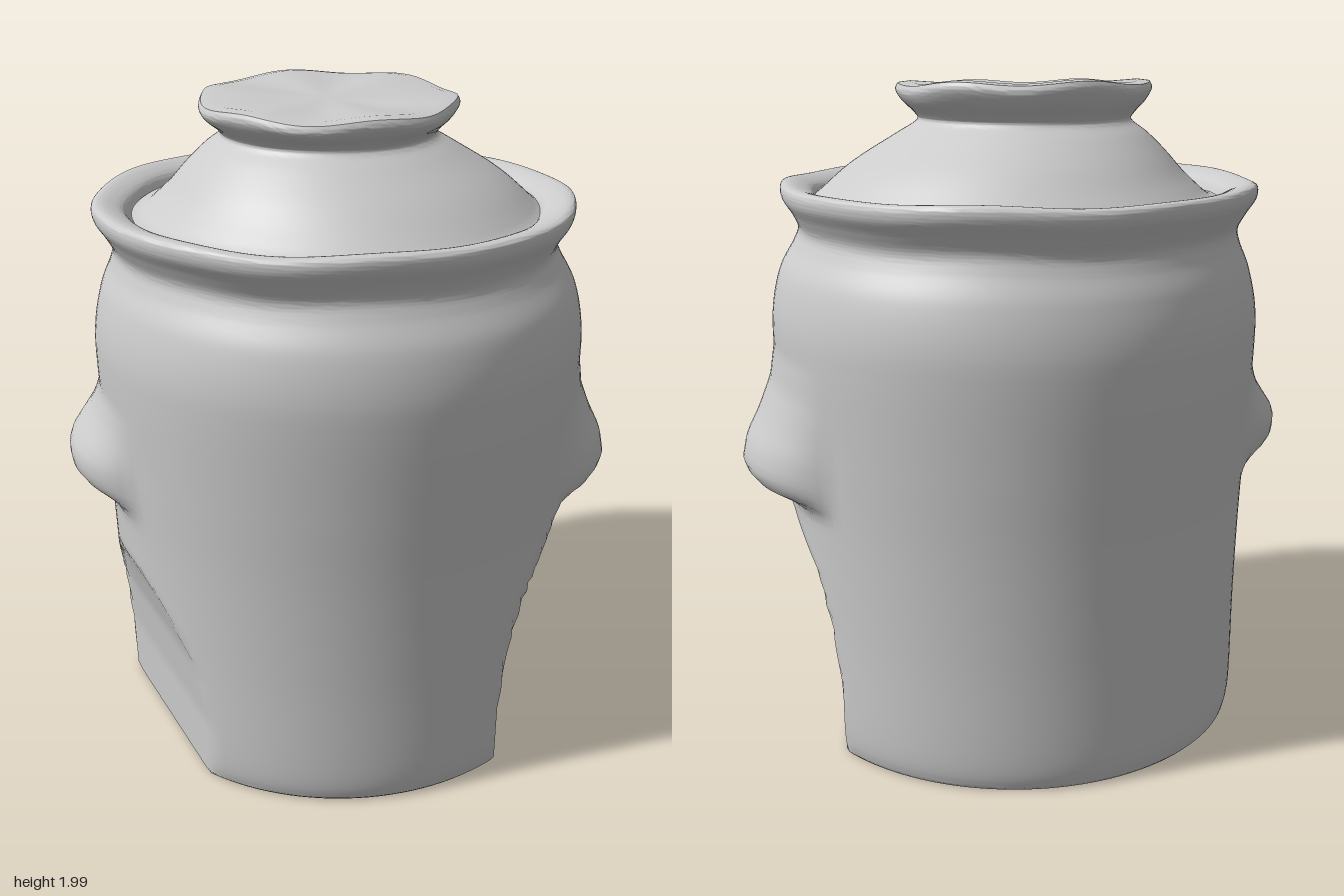
import * as THREE from 'three';
import { toCreasedNormals } from 'three/addons/utils/BufferGeometryUtils.js';

// Linear lookup in a list of [key, value] pairs.
function lookup(table, k) {
  if (k <= table[0][0]) return table[0][1];
  for (let i = 1; i < table.length; i++) {
    const [k0, v0] = table[i - 1], [k1, v1] = table[i];
    if (k <= k1) return v0 + ((v1 - v0) * (k - k0)) / (k1 - k0);
  }
  return table[table.length - 1][1];
}

const spline = (pts, n) => new THREE.SplineCurve(pts.map(p => new THREE.Vector2(...p))).getPoints(n);

// Turned form whose vertices are then moved by a rule.
function turned(name, points, rule, crease) {
  const geo = new THREE.LatheGeometry(points, 128);
  const pos = geo.attributes.position, v = new THREE.Vector3();
  for (let i = 0; i < pos.count; i++) {
    rule(v.fromBufferAttribute(pos, i));
    pos.setXYZ(i, v.x, v.y, v.z);
  }
  geo.deleteAttribute('normal');
  const mesh = new THREE.Mesh(toCreasedNormals(geo, crease),
    new THREE.MeshStandardMaterial({ color: 0xcccccc, side: THREE.DoubleSide }));
  mesh.name = name;
  return mesh;
}

// Each side: a lug pushed out of the wall and a flat cut away beneath it.
// cut = distance of the flat from the axis by height, lug = push by height.
const sides = [
  { sign: 1, nx: 0.978, nz: 0.208, spread: 0.53,
    cut: [[0, 0.522], [0.2, 0.525], [0.4, 0.55], [0.55, 0.59], [0.75, 0.69], [0.83, 0.8], [0.85, 9]],
    lug: [[0.75, 0], [0.78, 0.04], [0.81, 0.105], [0.85, 0.128], [0.92, 0.11], [1.0, 0.065], [1.1, 0.02], [1.2, 0]] },
  { sign: -1, nx: -0.947, nz: 0.32, spread: 0.5,
    cut: [[0, 0.605], [0.2, 0.61], [0.4, 0.638], [0.55, 0.685], [0.7, 0.745], [0.78, 0.8], [0.8, 9]],
    lug: [[0.78, 0], [0.82, 0.025], [0.85, 0.085], [0.89, 0.115], [0.95, 0.113], [1.0, 0.075], [1.06, 0.03], [1.13, 0]] },
];

function shapeBody(v) {
  for (const s of sides) {
    const reach = v.x * s.nx + v.z * s.nz, limit = lookup(s.cut, v.y);
    if (reach > limit) {
      v.x *= limit / reach;
      v.z *= limit / reach;
    }
    const a = Math.atan2(v.z, v.x * s.sign), r = Math.hypot(v.x, v.z);
    if (r > 0.1 && Math.abs(a) < s.spread) {
      const f = 1 - (a / s.spread) ** 2;
      const push = 1 + (lookup(s.lug, v.y) * f * (1.25 - 0.25 * f)) / r;
      v.x *= push;
      v.z *= push;
    }
  }
  // The rim sits a little off centre and is slightly uneven.
  const k = THREE.MathUtils.smoothstep(v.y, 1.4, 1.62), t = Math.atan2(v.z, v.x);
  const wave = Math.sin(5 * t + 1) + 0.6 * Math.sin(9 * t);
  v.x -= 0.013 * k;
  v.z -= 0.01 * k;
  v.y += 0.004 * k * wave;
}

function shapeLid(v) {
  const t = Math.atan2(v.z, v.x), r = Math.hypot(v.x, v.z);
  const k = THREE.MathUtils.smoothstep(v.y, 1.7, 1.87);
  const top = THREE.MathUtils.smoothstep(v.y, 1.88, 1.96);
  // The knob leans towards the back right of the lid and tilts.
  const wobble = 1 + 0.012 * top * Math.sin(7 * t + 0.5);
  v.x = v.x * wobble + 0.012 - 0.04 * k;
  v.z = v.z * wobble - 0.015;
  v.y += top * (-0.035 * v.z + 0.006 * (r / 0.38) * Math.sin(6 * t));
}

export function createModel() {
  const group = new THREE.Group();
  group.name = 'lidded jar';

  // Jar wall, collar and rolled rim, ending inside under the lid
  const wall = spline([[0.7, 0.015], [0.712, 0.1], [0.714, 0.4], [0.722, 0.7], [0.735, 0.95],
    [0.747, 1.2], [0.744, 1.32], [0.72, 1.43], [0.682, 1.51], [0.67, 1.555], [0.69, 1.6],
    [0.718, 1.645], [0.72, 1.68], [0.7, 1.69], [0.665, 1.683], [0.63, 1.665], [0.61, 1.635]], 150);
  const body = [new THREE.Vector2(0, 0.005), new THREE.Vector2(0.69, 0.005), ...wall,
    new THREE.Vector2(0.59, 1.61)];
  group.add(turned('jar body with lugs', body, shapeBody, 0.7));

  // Domed lid with its flared knob
  const dome = spline([[0.63, 1.64], [0.595, 1.652], [0.55, 1.69], [0.47, 1.762], [0.38, 1.83],
    [0.325, 1.868], [0.33, 1.89], [0.365, 1.925], [0.382, 1.955], [0.375, 1.975]], 50);
  const lid = [...dome, new THREE.Vector2(0.34, 1.98), new THREE.Vector2(0.2, 1.972),
    new THREE.Vector2(0, 1.968)];
  group.add(turned('lid with knob', lid, shapeLid, 0.7));

  return group;
}
